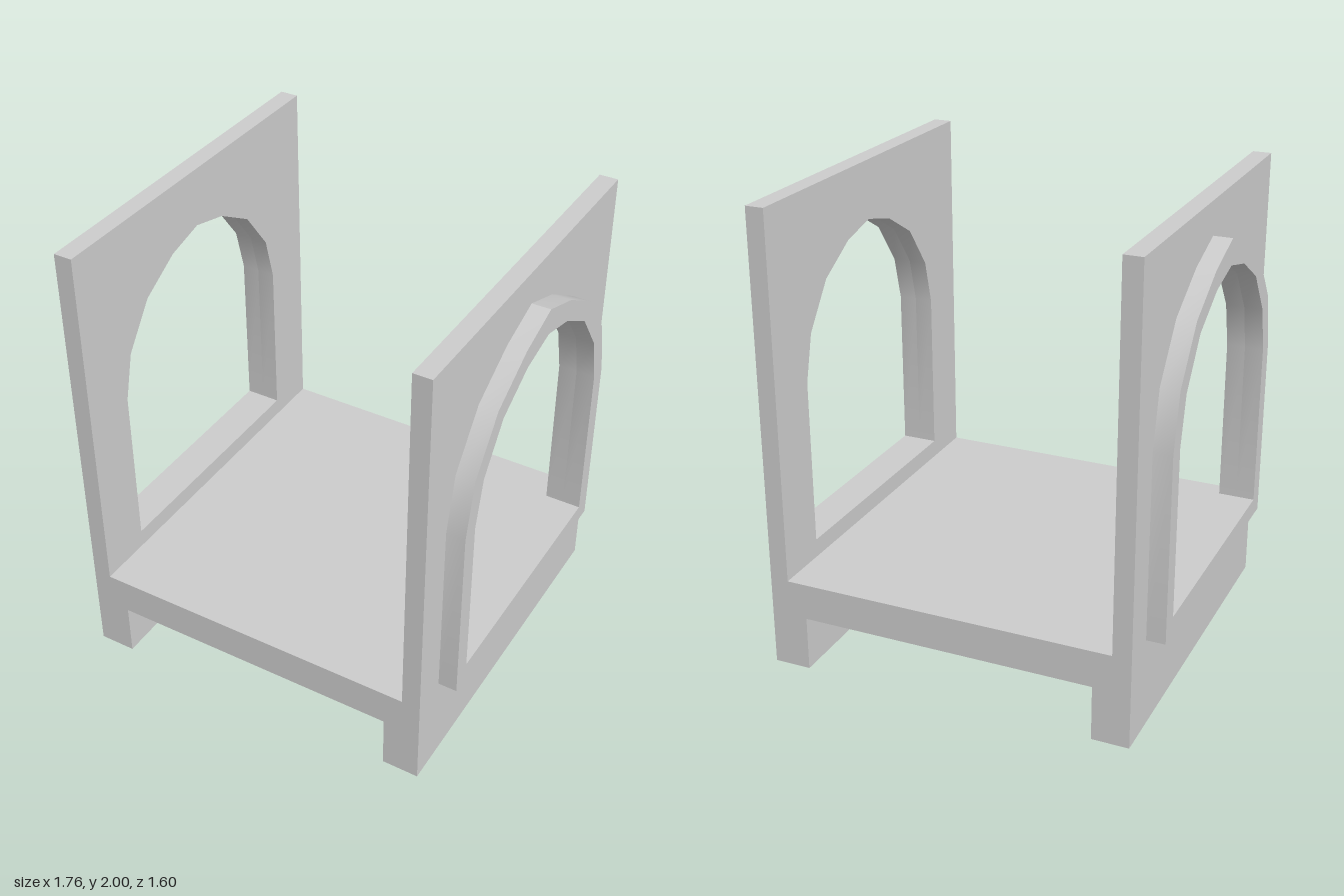
import * as THREE from 'three';
import { toCreasedNormals } from 'three/addons/utils/BufferGeometryUtils.js';

const stone = new THREE.MeshStandardMaterial({ color: 0xcccccc });
stone.name = 'pale grey';

// Right halves of the arch outlines, from the sill up to the apex
const INNER = [[0.56, 0.48], [0.56, 1.2], [0.51, 1.4], [0.37, 1.59], [0.18, 1.7], [0, 1.745]];
const OUTER = [[0.64, 0.4], [0.64, 1.2], [0.585, 1.44], [0.42, 1.655], [0.2, 1.785], [0, 1.855]];

const points = (list) => list.map(([x, y]) => new THREE.Vector2(x, y));

// Mirror a half outline into a closed one
function mirrored(half) {
  const other = half.slice(0, -1).reverse().map(([x, y]) => [-x, y]);
  return points([...half, ...other]);
}

function extrude(shape, depth) {
  const geometry = new THREE.ExtrudeGeometry(shape, { depth, bevelEnabled: false });
  return toCreasedNormals(geometry, 0.52);
}

// Upright panel with the arched opening, lying in the z-y plane
function archedPanel(outline, name, x) {
  const shape = new THREE.Shape(outline);
  shape.holes.push(new THREE.Path(mirrored(INNER)));
  const mesh = new THREE.Mesh(extrude(shape, 0.08).rotateY(Math.PI / 2), stone);
  mesh.name = name;
  mesh.position.x = x;
  return mesh;
}

export function createModel() {
  const model = new THREE.Group();
  model.name = 'archedHall';

  // Floor slab and its two supporting runners, one profile along z
  const profile = points([
    [-0.8, 0], [-0.64, 0], [-0.64, 0.24], [0.64, 0.24],
    [0.64, 0], [0.8, 0], [0.8, 0.4], [-0.8, 0.4],
  ]);
  const base = new THREE.Mesh(extrude(new THREE.Shape(profile), 1.6).translate(0, 0, -0.8), stone);
  base.name = 'base';
  model.add(base);

  // Side walls with a raised frame on the outside
  const wallOutline = points([[-0.8, 0.4], [0.8, 0.4], [0.8, 2], [-0.8, 2]]);
  for (const [side, wallX, frameX] of [['left', 0.72, 0.8], ['right', -0.8, -0.88]]) {
    model.add(archedPanel(wallOutline, side + 'Wall', wallX));
    model.add(archedPanel(mirrored(OUTER), side + 'ArchFrame', frameX));
  }
  return model;
}
